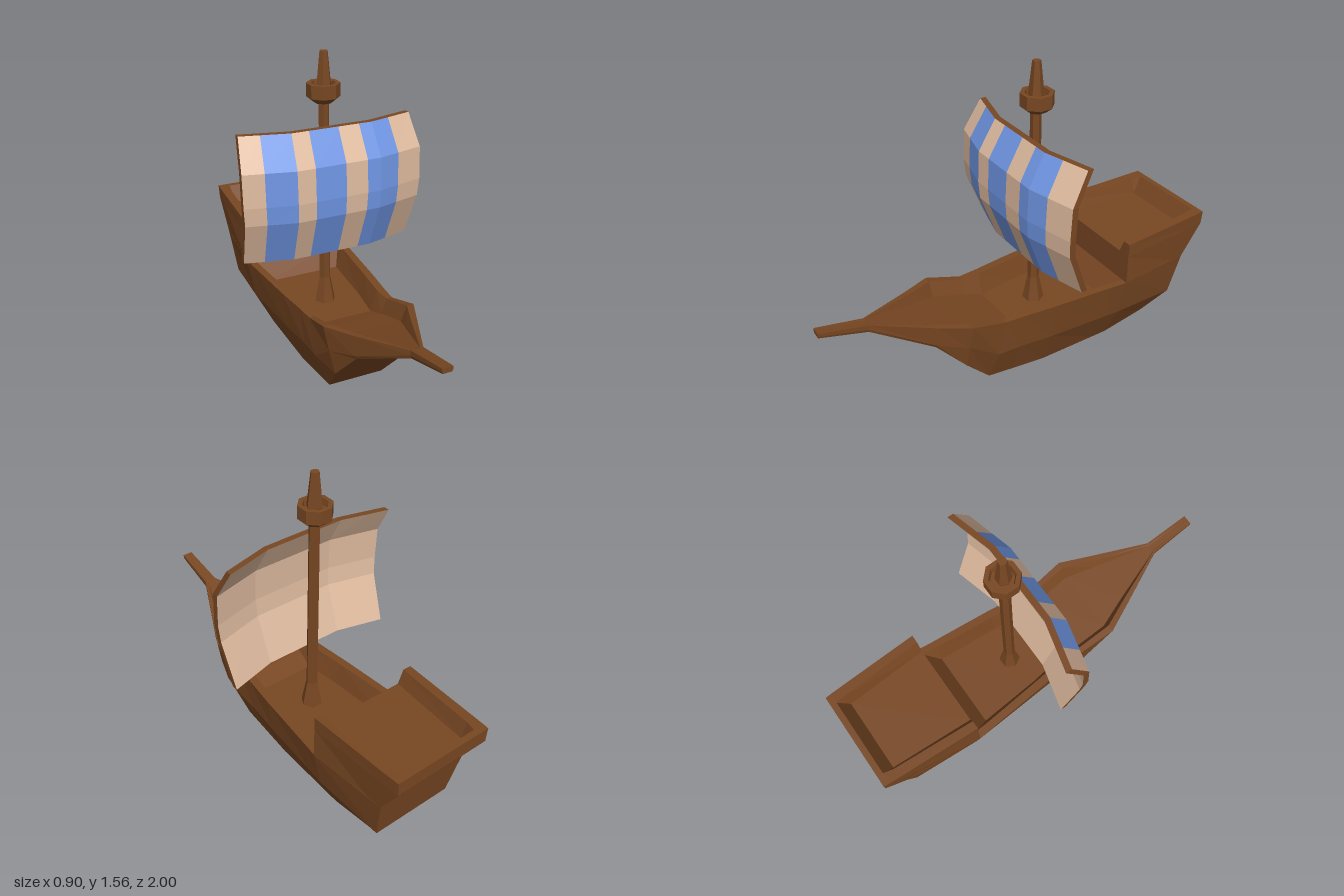
import * as THREE from 'three';

const mat = (name, color, side = THREE.FrontSide) => {
  const m = new THREE.MeshStandardMaterial({ color, flatShading: true, side });
  m.name = name;
  return m;
};

// Flat-shaded geometry from a list of quads and triangles
function facets(faces) {
  const pos = [];
  for (const f of faces)
    for (let i = 1; i < f.length - 1; i++) pos.push(...f[0], ...f[i], ...f[i + 1]);
  const g = new THREE.BufferGeometry();
  g.setAttribute('position', new THREE.Float32BufferAttribute(pos, 3));
  g.computeVertexNormals();
  return g;
}

// Loft through half sections (x > 0, bottom to deck), mirrored into closed rings, stern to bow
function loft(halves) {
  const rings = halves.map(h => [...h, ...h.map(([x, y, z]) => [-x, y, z]).reverse()]);
  const n = rings[0].length, faces = [];
  for (let j = 0; j < rings.length - 1; j++)
    for (let k = 0; k < n; k++) {
      const k2 = (k + 1) % n;
      faces.push([rings[j][k], rings[j][k2], rings[j + 1][k2], rings[j + 1][k]]);
    }
  // stern in level strips
  const s = rings[0];
  for (let k = 0; k < n / 2 - 1; k++) faces.push([s[k], s[n - 1 - k], s[n - 2 - k], s[k + 1]]);
  // front end
  const e = rings[rings.length - 1];
  const outline = e.map(p => new THREE.Vector2(p[0], p[1]));
  for (const t of THREE.ShapeUtils.triangulateShape(outline, [])) faces.push(t.map(i => e[i]));
  return facets(faces);
}

export function createModel() {
  const model = new THREE.Group();
  model.name = 'sailingShip';
  const wood = mat('brownWood', 0x784722);
  const cream = mat('creamCloth', 0xdfbb9f);
  const blue = mat('blueCloth', 0x7096e4);
  const add = (name, geo, m, parent = model) => {
    const mesh = new THREE.Mesh(geo, m);
    mesh.name = name;
    parent.add(mesh);
    return mesh;
  };

  // Hull sections: keel, waterline, gunwale outside, gunwale inside, deck edge
  add('hull', loft([
    [[.13, .03, -.75], [.21, .17, -.86], [.24, .4, -.9], [.2, .4, -.9], [.18, .4, -.9]],
    [[.14, 0, -.5], [.24, .2, -.5], [.28, .405, -.5], [.25, .405, -.5], [.24, .405, -.5]],
    [[.14, 0, -.42], [.235, .2, -.42], [.272, .405, -.42], [.235, .405, -.42], [.2, .3, -.42]],
    [[.14, 0, -.1], [.215, .2, -.1], [.245, .405, -.1], [.205, .405, -.1], [.175, .3, -.1]],
    [[.14, .022, .08], [.205, .21, .08], [.225, .405, .08], [.185, .405, .08], [.15, .3, .08]],
    [[.14, .04, .22], [.205, .215, .2], [.218, .405, .17], [.19, .405, .17], [.16, .33, .17]],
    [[.175, .2, .36], [.205, .33, .36], [.23, .46, .35], [.195, .46, .35], [.165, .385, .35]],
    [[.14, .353, .5], [.15, .37, .5], [.16, .478, .5], [.13, .478, .5], [.11, .435, .5]],
    [[.025, .485, .77], [.03, .5, .77], [.03, .525, .77], [.022, .525, .77], [.015, .524, .77]],
    [[.022, .55, 1], [.025, .56, 1], [.025, .575, 1], [.018, .575, 1], [.01, .575, 1]],
  ]), wood);

  // Raised stern deck, open to the front, with a rail on three sides
  add('sternCastle', loft([
    [[.24, .4, -.9], [.25, .57, -1], [.255, .642, -1], [.21, .642, -1], [.2, .642, -1]],
    [[.243, .4, -.86], [.253, .57, -.96], [.257, .642, -.97], [.205, .642, -.97], [.2, .642, -.97]],
    [[.246, .4, -.82], [.256, .57, -.92], [.26, .64, -.92], [.212, .64, -.92], [.187, .56, -.92]],
    [[.28, .4, -.5], [.278, .56, -.5], [.28, .63, -.5], [.238, .63, -.5], [.21, .56, -.5]],
  ]), wood);

  // Mast with flared foot
  const lathe = (pts, seg) => {
    const g = new THREE.LatheGeometry(pts.map(p => new THREE.Vector2(...p)), seg, Math.PI / seg);
    return g.toNonIndexed();
  };
  const mast = add('mast', lathe([[.055, .29], [.028, .43], [.026, 1.34], [.037, 1.4],
    [.02, 1.562], [0, 1.562]], 6), wood);
  mast.position.z = -.13;

  // Lookout basket
  const basket = add('crowsNest', lathe([[.02, 1.32], [.045, 1.325], [.079, 1.352], [.079, 1.415],
    [.058, 1.415], [.052, 1.385], [0, 1.385]], 8), wood);
  basket.position.z = -.135;

  // Billowing square sail: rows are height, front z and half width
  const rows = [[.605, -.04, .43], [.83, .045, .444], [.92, .052, .45], [1.08, .045, .45], [1.23, -.04, .43]];
  const at = (x, r, back = 0) => {
    const [y, z, w] = rows[r];
    return [x / .43 * w, y, z - .26 * Math.max(0, Math.abs(x) - .2) - back];
  };
  const T = .03;
  const cols = [-.43, -.335, -.2, -.115, .03, .135, .2, .3, .43];
  const isBlue = [false, true, false, true, false, true, true, false];
  const front = { creamStripes: [], blueStripes: [] }, rear = [], edge = [];
  const top = rows.length - 1, end = cols.length - 1;
  for (let c = 0; c < end; c++) {
    const a = cols[c], b = cols[c + 1];
    for (let r = 0; r < top; r++) {
      front[isBlue[c] ? 'blueStripes' : 'creamStripes'].push([at(a, r), at(b, r), at(b, r + 1), at(a, r + 1)]);
      rear.push([at(b, r, T), at(a, r, T), at(a, r + 1, T), at(b, r + 1, T)]);
    }
    edge.push([at(a, top), at(b, top), at(b, top, T), at(a, top, T)]);
    edge.push([at(b, 0), at(a, 0), at(a, 0, T), at(b, 0, T)]);
  }
  for (let r = 0; r < top; r++) {
    const a = cols[0], b = cols[end];
    edge.push([at(a, r), at(a, r + 1), at(a, r + 1, T), at(a, r, T)]);
    edge.push([at(b, r + 1), at(b, r), at(b, r, T), at(b, r + 1, T)]);
  }
  const sail = new THREE.Group();
  sail.name = 'sail';
  model.add(sail);
  add('creamStripes', facets(front.creamStripes), cream, sail);
  add('blueStripes', facets(front.blueStripes), blue, sail);
  add('sailBack', facets(rear), cream, sail);
  add('sailEdge', facets(edge), wood, sail);

  return model;
}
